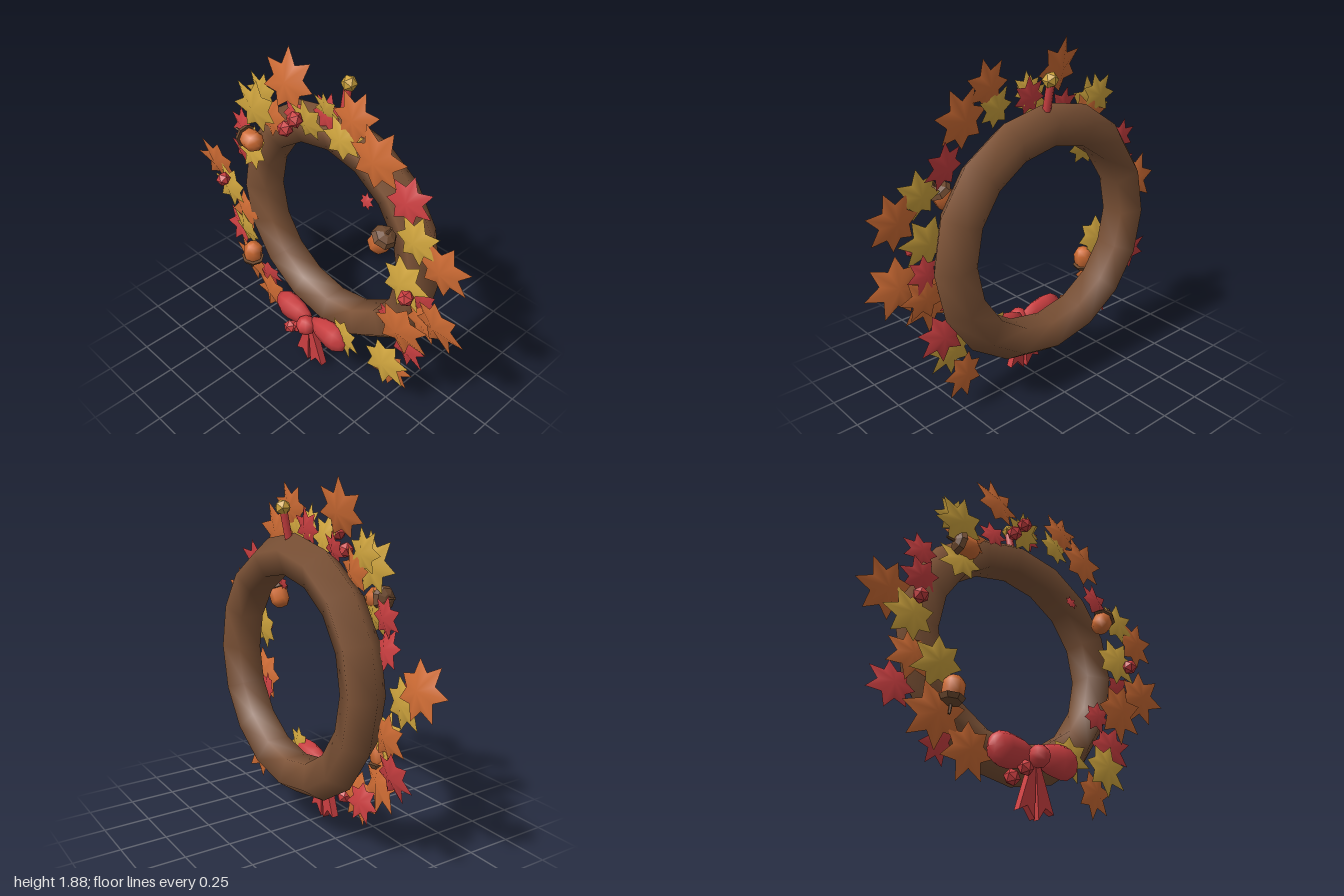
import * as THREE from 'three';

const mat = (name, color, flatShading = true) => {
  const m = new THREE.MeshStandardMaterial({ color, flatShading });
  m.name = name;
  return m;
};

const add = (parent, name, geo, material, x = 0, y = 0, z = 0) => {
  const m = new THREE.Mesh(geo, material);
  m.name = name;
  m.position.set(x, y, z);
  parent.add(m);
  return m;
};

const points = list => list.map(([x, y]) => new THREE.Vector2(x, y));

// Seven-pointed leaf: a star rim with a softly raised centre on both faces
function leafGeometry() {
  const corners = 14, pos = [], index = [];
  for (const side of [1, -1]) {
    const centre = pos.length / 3;
    pos.push(0, 0, side * 0.18);
    for (let i = 0; i < corners; i++) {
      const a = (i / corners) * Math.PI * 2;
      const r = i % 2 ? 0.53 : 0.9 + 0.1 * Math.cos(a);
      pos.push(r * Math.cos(a), r * Math.sin(a), 0);
      const p = centre + 1 + i, q = centre + 1 + ((i + 1) % corners);
      index.push(centre, ...(side > 0 ? [p, q] : [q, p]));
    }
  }
  const geo = new THREE.BufferGeometry();
  geo.setAttribute('position', new THREE.Float32BufferAttribute(pos, 3));
  geo.setIndex(index);
  geo.computeVertexNormals();
  return geo;
}

export function createModel() {
  const root = new THREE.Group();
  root.name = 'autumnWreath';
  const brown = mat('barkBrown', 0x7c5236, false);
  const orange = mat('leafOrange', 0xcf6c34, false);
  const yellow = mat('leafYellow', 0xd0a53e, false);
  const red = mat('berryRed', 0xcb3f41, false);
  const capBrown = mat('acornCapBrown', 0x6e4a30);

  // Ring with a five-sided section
  const ringY = 0.895, ringR = 0.587;
  add(root, 'ring', new THREE.TorusGeometry(ringR, 0.113, 5, 16), brown, 0, ringY, -0.088);

  // Leaves [x, y, radius] point outward and sink back the farther they are from the ring
  let seed = 7;
  const jitter = amount => {
    seed = (seed * 16807) % 2147483647;
    return (seed / 2147483647 - 0.5) * amount;
  };
  const leafGeo = leafGeometry();
  const addLeaves = (name, material, layer, list) => {
    for (const [x, y, r] of list) {
      const out = Math.hypot(x, y - ringY) - ringR;
      const leaf = add(root, name, leafGeo, material, x, y, layer - 0.17 * out);
      leaf.scale.setScalar(r);
      leaf.rotation.set(jitter(0.45), jitter(0.35), Math.atan2(y - ringY, x) + jitter(0.4));
    }
  };
  addLeaves('orangeLeaf', orange, 0.09, [
    [-0.2, 1.71, 0.175], [0.25, 1.69, 0.15], [0.4, 1.55, 0.18], [0.81, 1.15, 0.165],
    [0.82, 0.82, 0.175], [0.62, 0.68, 0.19], [-0.36, 0.28, 0.165], [-0.54, 0.42, 0.18],
    [-0.83, 0.97, 0.17],
  ]);
  addLeaves('orangeBackLeaf', orange, 0.025, [
    [0.5, 0.23, 0.15], [-0.65, 0.7, 0.15], [-0.37, 1.44, 0.14], [0.7, 0.74, 0.14],
  ]);
  addLeaves('yellowLeaf', yellow, 0.085, [
    [-0.44, 1.48, 0.17], [-0.45, 1.24, 0.14], [-0.7, 0.87, 0.155], [-0.55, 0.66, 0.15],
    [0.52, 0.35, 0.165], [0.24, 0.35, 0.14], [0.62, 0.98, 0.165], [0.66, 1.24, 0.145],
    [0.19, 1.57, 0.13], [-0.04, 1.57, 0.13],
  ]);
  addLeaves('yellowBackLeaf', yellow, 0.04, [[-0.45, 1.54, 0.13], [0.03, 1.64, 0.1]]);
  addLeaves('redLeaf', red, 0.025, [
    [0.03, 1.61, 0.115], [-0.63, 1.27, 0.115], [-0.63, 1.12, 0.12], [-0.73, 0.54, 0.145],
    [0.55, 1.37, 0.14], [0.61, 0.49, 0.15], [0.5, 0.64, 0.1], [-0.48, 0.31, 0.12],
    [0.69, 0.86, 0.11], [-0.2, 1.53, 0.1], [0.33, 1.28, 0.05],
  ]);

  // Berries
  const berryGeo = new THREE.IcosahedronGeometry(0.042, 0);
  for (const [x, y] of [[-0.07, 1.59], [-0.14, 1.51], [-0.69, 0.95], [0.68, 0.95], [-0.15, 0.175], [-0.07, 0.235]]) {
    add(root, 'berry', berryGeo, red, x, y, 0.125).rotation.z = x * 2;
  }

  // Acorns: centre and the direction of the cap in degrees
  const nutProfile = points([[0, -0.065], [0.035, -0.055], [0.055, -0.025], [0.055, 0.03], [0.04, 0.055]]);
  const capProfile = points([[0, 0.045], [0.066, 0.045], [0.052, 0.07], [0.02, 0.085], [0, 0.085]]);
  for (const [x, y, deg] of [[-0.425, 1.315, 172], [0.49, 1.17, 60], [-0.48, 0.54, -98]]) {
    const acorn = new THREE.Group();
    acorn.name = 'acorn';
    acorn.position.set(x, y, 0.11);
    acorn.rotation.z = THREE.MathUtils.degToRad(deg - 90);
    root.add(acorn);
    add(acorn, 'acornBody', new THREE.LatheGeometry(nutProfile, 7), orange);
    add(acorn, 'acornCap', new THREE.LatheGeometry(capProfile, 7), capBrown);
    add(acorn, 'acornStem', new THREE.CylinderGeometry(0.007, 0.009, 0.05, 5), capBrown, 0, 0.105, 0);
  }

  // Bow: mirrored loops and notched tails around a knot
  const loopProfile = points([[0, 0.015], [0.045, 0.02], [0.075, 0.08], [0.092, 0.16], [0.088, 0.21], [0.058, 0.255], [0, 0.27]]);
  const tail = new THREE.Shape(points([[0, 0.27], [0.03, 0.25], [0.105, 0.035], [0.055, 0.06], [0.012, 0]]));
  const tailGeo = new THREE.ExtrudeGeometry(tail, { depth: 0.04, bevelEnabled: false });
  for (const side of [1, -1]) {
    const loopGeo = new THREE.LatheGeometry(loopProfile, 8);
    loopGeo.scale(1, 1, 0.6);
    loopGeo.rotateZ((-side * Math.PI) / 2);
    add(root, 'bowLoop', loopGeo, red, 0, 0.31, 0.1);
    add(root, 'bowTail', tailGeo, red, 0, 0, 0.08).scale.x = side;
  }
  add(root, 'bowKnot', new THREE.SphereGeometry(0.058, 8, 6), red, 0, 0.3, 0.14);

  // Peg with a knob at the top of the ring
  add(root, 'peg', new THREE.CylinderGeometry(0.022, 0.022, 0.18, 6), red, 0.02, 1.63, -0.125).rotation.x = -0.2;
  add(root, 'pegKnob', new THREE.IcosahedronGeometry(0.042, 0), yellow, 0.025, 1.72, -0.142);

  return root;
}
